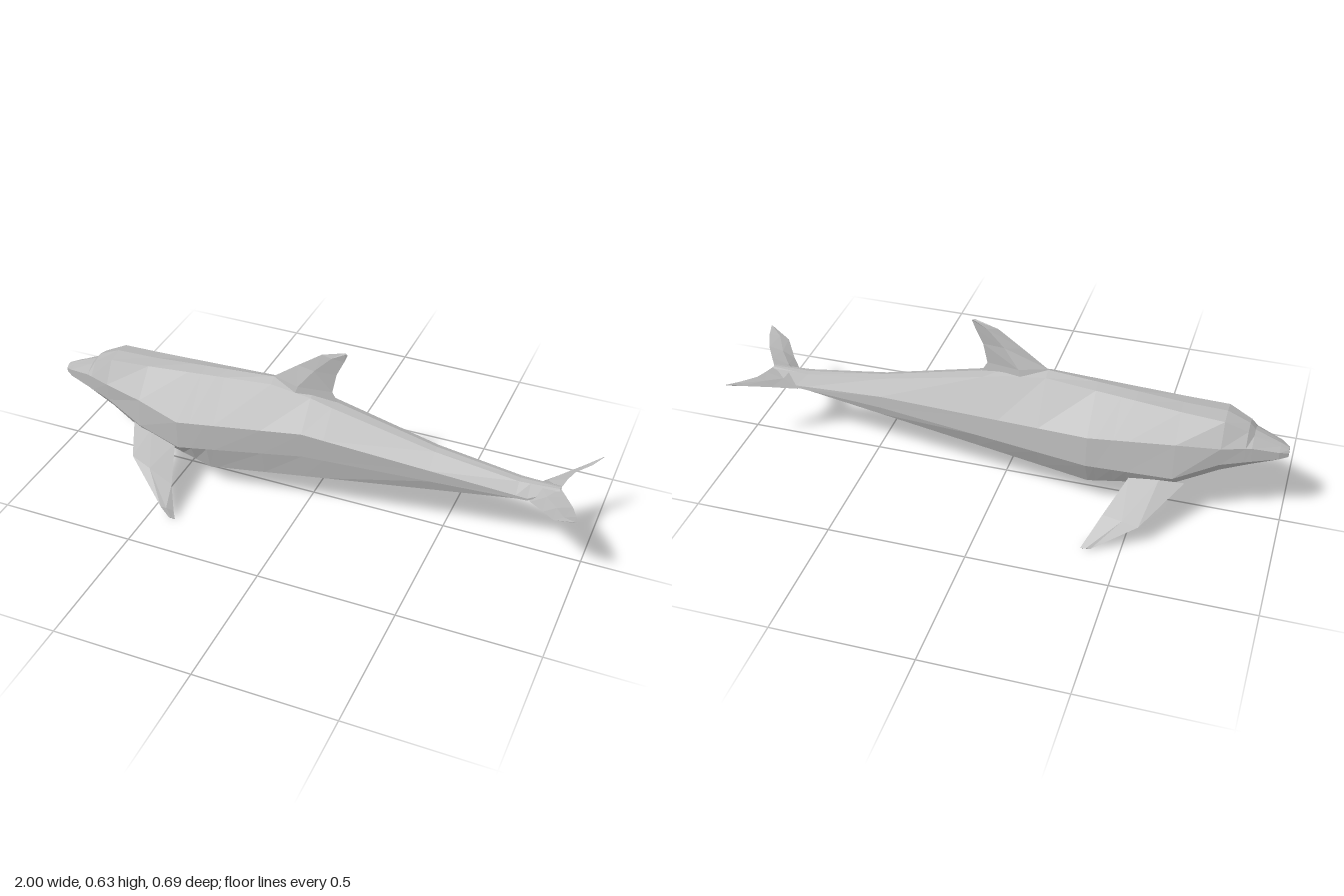
import * as THREE from 'three';

const skin = new THREE.MeshStandardMaterial({ color: 0xb8b8b8, flatShading: true });
skin.name = 'grey skin';

// Skin a list of closed rings (each a list of [x, y, z]) and cap both ends.
function loft(name, rings) {
  const n = rings[0].length;
  const pts = rings.flat();
  const idx = [];
  for (let r = 0; r < rings.length - 1; r++) {
    for (let i = 0; i < n; i++) {
      const a = r * n + i, b = r * n + (i + 1) % n;
      idx.push(a, b, a + n, b, b + n, a + n);
    }
  }
  const last = (rings.length - 1) * n;
  for (let i = 1; i < n - 1; i++) {
    idx.push(0, i + 1, i, last, last + i, last + i + 1);
  }
  // Signed volume tells whether the faces point outwards.
  const v = pts.map(p => new THREE.Vector3(...p));
  let volume = 0;
  for (let i = 0; i < idx.length; i += 3) {
    volume += v[idx[i]].dot(new THREE.Vector3().crossVectors(v[idx[i + 1]], v[idx[i + 2]]));
  }
  if (volume < 0) idx.reverse();
  const indexed = new THREE.BufferGeometry().setFromPoints(v);
  indexed.setIndex(idx);
  const geometry = indexed.toNonIndexed();
  geometry.computeVertexNormals();
  const mesh = new THREE.Mesh(geometry, skin);
  mesh.name = name;
  return mesh;
}

// Fin from stations of [lead point, trail point, half thickness];
// thickness is laid along the given direction.
function fin(name, stations, dir) {
  return loft(name, stations.map(([lead, trail, t]) => {
    const mid = k => lead.map((c, i) => c * 0.55 + trail[i] * 0.45 + k * t * dir[i]);
    return [lead, mid(1), trail, mid(-1)];
  }));
}

// Point on a rail of [x, y, z] points at a given x
function sample(rail, x) {
  let i = 0;
  while (i < rail.length - 2 && rail[i + 1][0] < x) i++;
  const [a, b] = [rail[i], rail[i + 1]];
  const t = (x - a[0]) / (b[0] - a[0]);
  return [x, a[1] + t * (b[1] - a[1]), a[2] + t * (b[2] - a[2])];
}

const flip = rail => rail.map(([x, y, z]) => [x, y, -z]);

// Rails running from beak to tail
const spine = [[-1, 0.32, 0], [-0.97, 0.335, 0], [-0.88, 0.372, 0], [-0.86, 0.395, 0],
  [-0.78, 0.43, 0], [-0.63, 0.435, 0], [-0.15, 0.475, 0], [0, 0.455, 0], [0.08, 0.43, 0],
  [0.45, 0.342, 0], [0.76, 0.297, 0], [0.9, 0.296, 0]];
const shoulder = [[-1, 0.318, 0.01], [-0.88, 0.365, 0.03], [-0.86, 0.385, 0.04],
  [-0.78, 0.42, 0.055], [-0.63, 0.427, 0.05], [-0.15, 0.46, 0.03], [0, 0.44, 0.03],
  [0.08, 0.42, 0.03], [0.45, 0.335, 0.022], [0.76, 0.293, 0.018], [0.9, 0.295, 0.008]];
const beakUpper = [[-1, 0.31, 0.02], [-0.97, 0.32, 0.04], [-0.88, 0.34, 0.07], [-0.78, 0.34, 0.103]];
const beakLower = [[-1, 0.295, 0.02], [-0.97, 0.293, 0.04], [-0.88, 0.285, 0.07], [-0.78, 0.272, 0.1]];
const beakKeel = [[-1, 0.29, 0.013], [-0.88, 0.262, 0.05], [-0.78, 0.23, 0.07]];
const belly = [[-1, 0.287, 0], [-0.97, 0.277, 0], [-0.88, 0.257, 0], [-0.78, 0.22, 0],
  [-0.63, 0.15, 0], [-0.42, 0.077, 0], [0.48, 0.165, 0], [0.8, 0.235, 0], [0.9, 0.283, 0]];

// The two flanks bulge a little differently.
const leftFlank = [
  shoulder,
  [...beakUpper, [-0.63, 0.33, 0.135], [-0.47, 0.29, 0.156], [0, 0.34, 0.115], [0.8, 0.25, 0.045], [0.9, 0.291, 0.015]],
  [...beakLower, [-0.63, 0.225, 0.143], [-0.47, 0.18, 0.156], [0, 0.24, 0.108], [0.8, 0.242, 0.045], [0.9, 0.288, 0.015]],
  [...beakKeel, [-0.63, 0.172, 0.11], [-0.36, 0.1, 0.12], [0.8, 0.237, 0.032], [0.9, 0.285, 0.01]],
];
const rightFlank = [
  flip(shoulder),
  flip([...beakUpper, [-0.63, 0.34, 0.125], [-0.33, 0.325, 0.15], [0.45, 0.28, 0.06], [0.8, 0.25, 0.04], [0.9, 0.291, 0.015]]),
  flip([...beakLower, [-0.63, 0.21, 0.143], [-0.33, 0.215, 0.162], [0.5, 0.235, 0.058], [0.8, 0.242, 0.042], [0.9, 0.288, 0.015]]),
  flip([...beakKeel, [-0.63, 0.168, 0.11], [-0.33, 0.115, 0.113], [0.8, 0.237, 0.03], [0.9, 0.285, 0.01]]),
];
const STATIONS = [-1, -0.97, -0.88, -0.86, -0.78, -0.63, -0.47, -0.42, -0.36, -0.33,
  -0.15, 0, 0.08, 0.46, 0.76, 0.8, 0.9];

export function createModel() {
  const group = new THREE.Group();
  group.name = 'dolphin';

  const rails = [spine, ...leftFlank, belly, ...[...rightFlank].reverse()];
  group.add(loft('body', STATIONS.map(x => rails.map(rail => sample(rail, x)))));

  // Swept-back fin on the back
  group.add(fin('dorsalFin', [
    [[-0.2, 0.43, 0], [0.10, 0.41, 0], 0.035],
    [[-0.15, 0.478, 0], [0.07, 0.465, 0], 0.026],
    [[-0.06, 0.545, 0], [0.085, 0.54, 0], 0.011],
    [[0.03, 0.61, 0], [0.113, 0.6, 0], 0.006],
    [[0.11, 0.635, 0], [0.125, 0.63, 0], 0.004],
  ], [0, 0, 1]));

  // Side flippers, posed differently
  group.add(fin('leftFlipper', [
    [[-0.67, 0.225, 0.11], [-0.49, 0.182, 0.14], 0.01],
    [[-0.61, 0.16, 0.243], [-0.445, 0.095, 0.265], 0.006],
    [[-0.45, 0.05, 0.345], [-0.41, 0.03, 0.325], 0.004],
    [[-0.42, 0.01, 0.345], [-0.40, 0.002, 0.337], 0.002],
  ], [0, 0.8, 0.6]));
  group.add(fin('rightFlipper', [
    [[-0.67, 0.175, -0.11], [-0.48, 0.18, -0.14], 0.012],
    [[-0.55, 0.09, -0.285], [-0.42, 0.097, -0.262], 0.005],
    [[-0.40, 0.005, -0.343], [-0.365, 0.003, -0.345], 0.002],
  ], [0, 0.8, -0.6]));

  // Tail flukes, front edge low and rear edge high
  group.add(fin('leftFluke', [
    [[0.77, 0.255, 0], [0.90, 0.292, 0], 0.022],
    [[0.81, 0.24, 0.045], [0.93, 0.297, 0.045], 0.012],
    [[0.87, 0.265, 0.11], [0.965, 0.305, 0.10], 0.008],
    [[0.92, 0.296, 0.178], [0.99, 0.318, 0.16], 0.005],
    [[0.985, 0.325, 0.20], [1.0, 0.33, 0.204], 0.002],
  ], [0, 1, 0]));
  group.add(fin('rightFluke', [
    [[0.77, 0.255, 0], [0.90, 0.292, 0], 0.022],
    [[0.79, 0.24, -0.045], [0.91, 0.297, -0.05], 0.012],
    [[0.87, 0.268, -0.10], [0.925, 0.30, -0.095], 0.008],
    [[0.95, 0.297, -0.16], [0.97, 0.305, -0.15], 0.005],
    [[0.995, 0.315, -0.196], [1.0, 0.316, -0.196], 0.002],
  ], [0, 1, 0]));
  return group;
}
